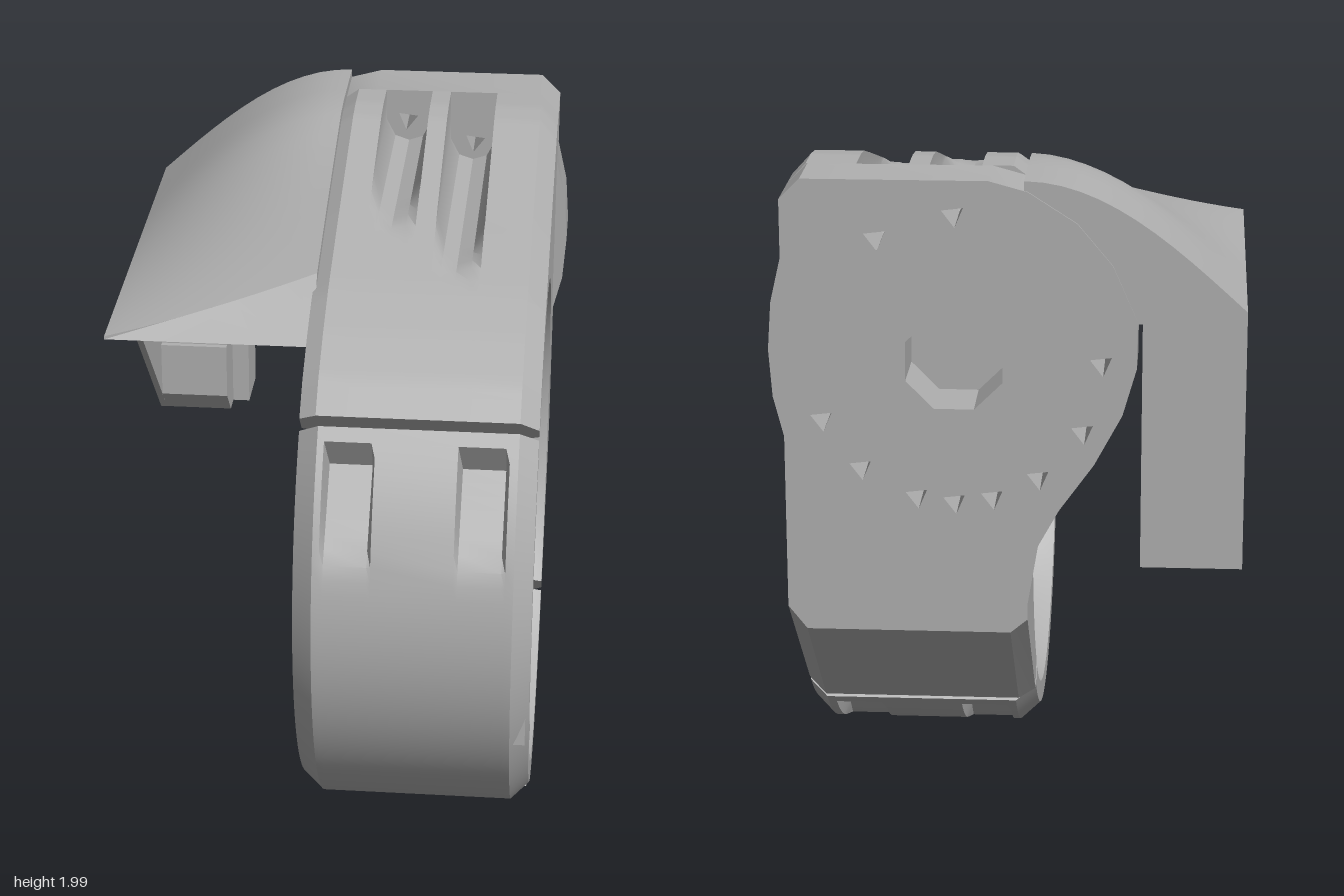
import * as THREE from 'three';
import { toCreasedNormals } from 'three/addons/utils/BufferGeometryUtils.js';

const CZ = 0.08, CY = 0.89, OUTER = 0.88, INNER = 0.735;
const rad = THREE.MathUtils.degToRad;
const lerp = THREE.MathUtils.lerp;

// Skin a row of matching closed loops of [x, y, z]; a and b are the axes of the loop plane.
function loft(loops, a, b) {
  const pos = [], n = loops[0].length;
  const tri = (...p) => p.forEach(v => pos.push(...v));
  for (let s = 0; s < loops.length - 1; s++) {
    const A = loops[s], B = loops[s + 1];
    for (let i = 0; i < n; i++) {
      const j = (i + 1) % n;
      tri(A[i], B[i], A[j]);
      tri(B[i], B[j], A[j]);
    }
  }
  const cap = (L, flip) => {
    const flat = L.map(p => new THREE.Vector2(p[a], p[b]));
    for (const [i, j, k] of THREE.ShapeUtils.triangulateShape(flat, [])) {
      if (flip) tri(L[i], L[k], L[j]); else tri(L[i], L[j], L[k]);
    }
  };
  cap(loops[0], false);
  cap(loops[loops.length - 1], true);
  const g = new THREE.BufferGeometry();
  g.setAttribute('position', new THREE.Float32BufferAttribute(pos, 3));
  return toCreasedNormals(g, 0.5);
}

// Prism along x from a side profile of [z, y] points.
function sidePrism(profile, x0, x1) {
  const area = THREE.ShapeUtils.area(profile.map(p => new THREE.Vector2(...p)));
  const pts = area < 0 ? [...profile].reverse() : profile;
  return loft([x0, x1].map(x => pts.map(([z, y]) => [x, y, z])), 2, 1);
}

// Points [z, y] on an arc about the ring axis; radius may depend on the angle.
function arc(from, to, steps, radius) {
  return Array.from({ length: steps + 1 }, (_, i) => {
    const d = lerp(from, to, i / steps), r = radius(d);
    return [CZ + r * Math.cos(rad(d)), CY + r * Math.sin(rad(d))];
  });
}

// Ridge line of the bracket, front to back, as [z, y].
const ridge = [[0.69, 1.52], [0.6, 1.6], [0.46, 1.68], [0.3, 1.75], [0, 1.84], [-0.4, 1.95], [-0.55, 1.99], [-0.64, 2], [-0.76, 2]];
function ridgeHeight(z) {
  for (let i = 0; i < ridge.length - 1; i++) {
    const [z0, y0] = ridge[i], [z1, y1] = ridge[i + 1];
    if (z >= z1) return lerp(y0, y1, (z0 - z) / (z0 - z1));
  }
  return 2;
}

// Upper bracket, with two rounded channels sunk in the top and a chamfered outer edge.
function bracketGeometry() {
  const top = [];
  for (let i = 0; i < ridge.length - 1; i++) {
    for (let k = 0; k < 5; k++) top.push([0, 1].map(c => lerp(ridge[i][c], ridge[i + 1][c], k / 5)));
  }
  const outer = [...top, [-0.76, 2], [-0.76, 0.8], [-0.95, 0.8], [-0.95, 0.65], [-0.555, 0.275]];
  const loop = (x, limit = 9, inset = 0, innerCut = 0) => {
    const out = outer.map(([z, y]) => {
      let dz = 0, dy = 0;
      if (z > 0.3) dz = dy = -0.04;
      else if (y < 0.5) dz = dy = 0.04;
      else if (y < 0.7) dy = 0.07;
      else if (y > 1) dy = -0.06;
      return [x, Math.min(y + dy * inset, limit), z + dz * inset];
    });
    const inn = arc(223.8, 46.2, 30, () => INNER + innerCut).map(([z, y]) => [x, y, z]);
    return [...out, ...inn];
  };
  const loops = [loop(-0.06, 9, 0.6, 0.02), loop(-0.01)];
  for (const [x, floor] of [[0.08, 1.83], [0.29, 1.77]]) {
    loops.push(loop(x));
    for (const [d, up] of [[0.001, 0.07], [0.03, 0.015], [0.075, 0], [0.12, 0.015], [0.149, 0.07]]) {
      loops.push(loop(x + d, floor + up));
    }
    loops.push(loop(x + 0.15));
  }
  loops.push(loop(0.585), loop(0.64, 9, 1, 0.025));
  return loft(loops, 2, 1);
}

// Lower half clip, with screw pockets beside both joints.
function clipGeometry() {
  const loop = (x, inset, pocket) => {
    const radius = d => {
      const off = Math.min(Math.abs(45 - d), Math.abs(d + 135));
      return pocket && off > 7 && off < 40 ? Math.min(OUTER, 0.775 / Math.cos(rad(off))) : OUTER - inset;
    };
    const out = arc(-133.8, 43.8, 60, radius);
    const inn = arc(43.8, -133.8, 30, () => INNER + inset * 0.45);
    return [...out, ...inn].map(([z, y]) => [x, y, z]);
  };
  const loops = [loop(-0.06, 0.055), loop(0, 0)];
  for (const x of [0.02, 0.41]) {
    loops.push(loop(x, 0), loop(x + 0.012, 0, true), loop(x + 0.138, 0, true), loop(x + 0.15, 0));
  }
  loops.push(loop(0.585, 0), loop(0.64, 0.055));
  return loft(loops, 2, 1);
}

// Round mounting plate at the back, with a centre socket and a ring of small holes.
function backPlateGeometry() {
  const shape = new THREE.Shape([
    [-0.06, 0.74], [0, 0.8], [0.64, 0.8], [0.64, 1.24], [0.67, 1.36], [0.68, 1.5], [0.67, 1.64], [0.64, 1.77],
    [0.64, 1.94], [0.58, 2], [0.05, 2], [-0.06, 1.97], [-0.2, 1.88], [-0.3, 1.76], [-0.37, 1.6],
    [-0.37, 1.46], [-0.33, 1.32], [-0.25, 1.17], [-0.15, 1.03], [-0.09, 0.92],
  ].map(p => new THREE.Vector2(...p)));
  const hole = (x, y, r, sides) => shape.holes.push(new THREE.Path(
    Array.from({ length: sides }, (_, i) => {
      const t = -i / sides * Math.PI * 2 + 0.4;
      return new THREE.Vector2(x + r * Math.cos(t), y + r * Math.sin(t));
    })));
  hole(0.15, 1.47, 0.15, 8);
  for (const d of [180, 209, 235, 255, 270, 285, 310, 335]) {
    hole(0.15 + 0.42 * Math.cos(rad(d)), 1.47 + 0.42 * Math.sin(rad(d)), 0.036, 3);
  }
  hole(0.15, 1.9, 0.036, 3);
  hole(0.37, 1.83, 0.036, 3);
  const g = new THREE.ExtrudeGeometry(shape, { depth: 0.19, bevelEnabled: false });
  g.translate(0, 0, -0.95);
  return toCreasedNormals(g, 0.5);
}

// Curved hood over the side; its crown follows the bracket ridge and flattens to the front.
function hoodGeometry() {
  const loops = [];
  const rows = 12, cols = 12;
  for (let s = 0; s <= rows; s++) {
    const t = s / rows;
    const loop = [[-0.68, 1.59, lerp(0.37, -0.945, t)], [-0.05, 1.59, lerp(0.37, -0.945, t)]];
    for (let i = cols; i >= 0; i--) {
      const u = i / cols;
      const z = lerp(0.37 - 0.14 * u, -0.945, t);
      const f = lerp(u, Math.sin(u * Math.PI / 2), Math.min(1, t * 1.4));
      const edge = lerp(1.6, 1.63, t);
      loop.push([lerp(-0.68, -0.05, u), edge + (ridgeHeight(z) - edge) * f, z]);
    }
    loops.push(loop);
  }
  return loft(loops, 0, 1);
}

export function createModel() {
  const model = new THREE.Group();
  model.name = 'ringClampMount';
  const grey = new THREE.MeshStandardMaterial({ color: 0xb0b0b0 });
  grey.name = 'grey';
  const add = (name, geometry) => {
    const mesh = new THREE.Mesh(geometry, grey);
    mesh.name = name;
    model.add(mesh);
  };

  add('upperBracket', bracketGeometry());
  add('lowerClip', clipGeometry());
  add('backPlate', backPlateGeometry());
  add('sideHood', hoodGeometry());

  // Hanging side wall below the hood, with a stepped recess behind it
  add('hoodOuterWall', sidePrism([[-0.945, 0.86], [-0.69, 0.86], [0.06, 1.6], [-0.945, 1.6]], -0.68, -0.66));
  add('hoodInnerBlock', sidePrism([
    [-0.945, 0.86], [-0.69, 0.86], [-0.6, 0.95], [-0.6, 1.13], [-0.62, 1.13], [-0.62, 1.23],
    [-0.85, 1.23], [-0.85, 1.48], [-0.06, 1.48], [0.06, 1.6], [-0.945, 1.6],
  ], -0.66, -0.44));
  add('hoodInnerStrip', sidePrism([[-0.945, 0.86], [-0.76, 0.86], [-0.76, 1.6], [-0.945, 1.6]], -0.44, -0.385));

  // Small bosses inside the clip
  add('frontBoss', sidePrism([[0.87, 0.82], [0.78, 0.78], [0.73, 0.65], [0.8, 0.5], [0.88, 0.55]], 0.5, 0.63));
  add('bottomBoss', sidePrism([[0.45, 0.13], [0.3, 0.23], [0.17, 0.2], [0.15, 0.09], [0.35, 0.09]], 0.5, 0.63));
  return model;
}
